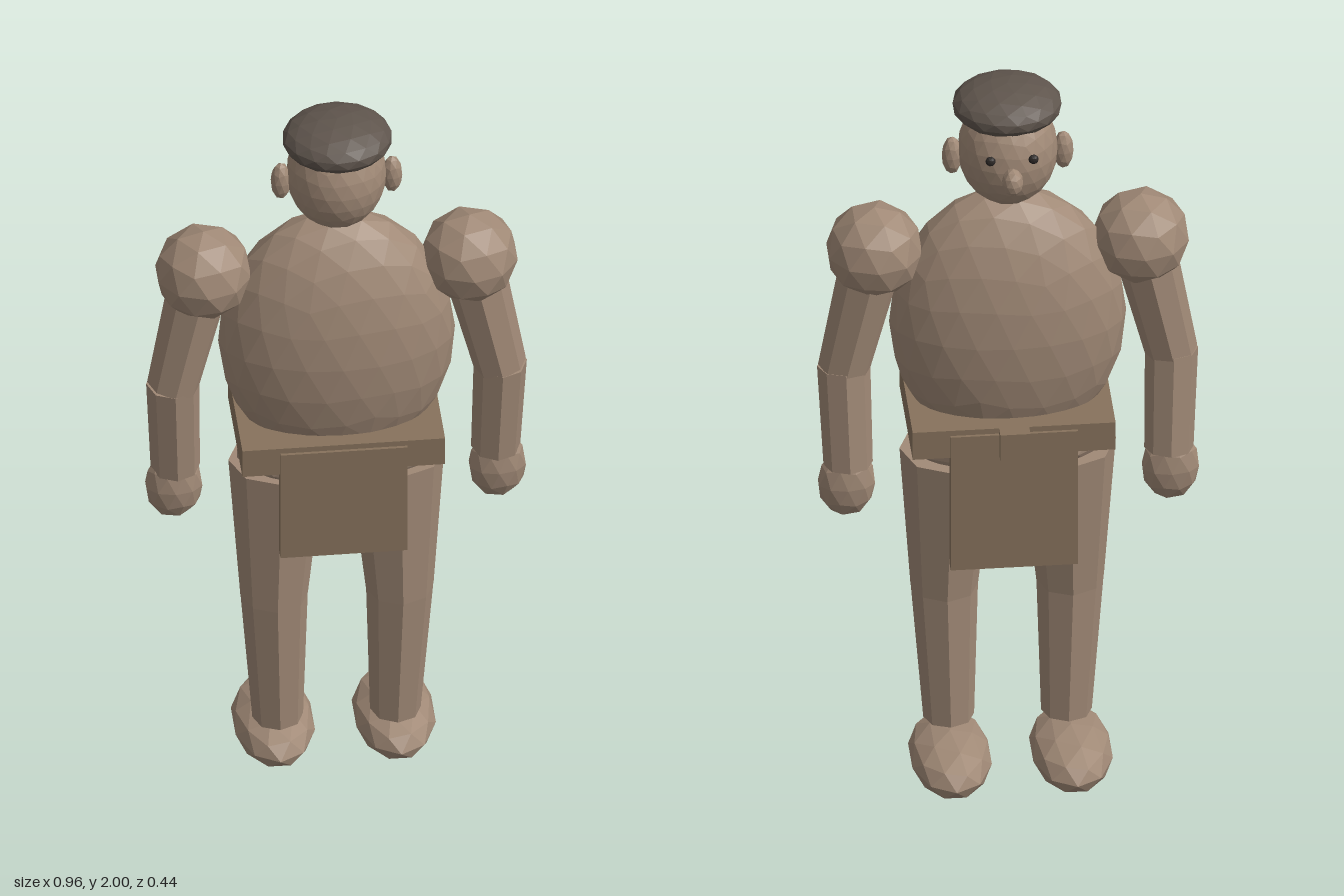
import * as THREE from 'three';

const material = (color) => new THREE.MeshStandardMaterial({ color, flatShading: true });

export function createModel() {
  const model = new THREE.Group();
  const skin = material(0xa08976);
  const leather = material(0x87725c);
  const capCloth = material(0x5f554d);
  const dark = material(0x2c2826);

  const add = (name, geometry, mat) => {
    const mesh = new THREE.Mesh(geometry, mat);
    mesh.name = name;
    model.add(mesh);
    return mesh;
  };

  // Faceted ellipsoid with a vertex at its top pole
  const ball = (name, center, radii, detail, mat = skin) => {
    const geometry = new THREE.IcosahedronGeometry(1, detail);
    geometry.rotateZ(Math.atan(2 / (1 + Math.sqrt(5))));
    geometry.scale(...radii);
    return add(name, geometry, mat).position.set(...center);
  };

  // Tapered eight-sided limb running from point a down to point b
  const limb = (name, a, b, radiusA, radiusB) => {
    const top = new THREE.Vector3(...a);
    const bottom = new THREE.Vector3(...b);
    const axis = top.clone().sub(bottom);
    const mesh = add(name, new THREE.CylinderGeometry(radiusA, radiusB, axis.length(), 8), skin);
    mesh.position.copy(top).add(bottom).multiplyScalar(0.5);
    mesh.quaternion.setFromUnitVectors(new THREE.Vector3(0, 1, 0), axis.normalize());
  };

  // Box given by its lower and upper corners
  const slab = (name, lo, hi) => {
    const mesh = add(name, new THREE.BoxGeometry(hi[0] - lo[0], hi[1] - lo[1], hi[2] - lo[2]), leather);
    mesh.position.set((lo[0] + hi[0]) / 2, (lo[1] + hi[1]) / 2, (lo[2] + hi[2]) / 2);
  };

  // Trunk, head and cap; the face looks toward -z
  ball('torso', [0, 1.32, 0.043], [0.298, 0.375, 0.164], 3);
  ball('pelvis', [0, 0.97, 0.042], [0.255, 0.1, 0.13], 2);
  ball('head', [0, 1.82, 0.04], [0.126, 0.15, 0.125], 3);
  ball('cap', [0, 1.94, 0.058], [0.139, 0.06, 0.128], 2, capCloth);
  ball('nose', [0, 1.8, -0.09], [0.027, 0.038, 0.032], 1);

  // Belt, buckle and hanging cloths
  slab('belt', [-0.255, 1.015, -0.13], [0.255, 1.095, 0.212]);
  slab('buckle', [-0.038, 1.02, -0.163], [0.038, 1.095, -0.11]);
  slab('longCloth', [-0.16, 0.685, -0.138], [0.16, 1.08, -0.1]);
  slab('shortCloth', [-0.16, 0.76, 0.187], [0.16, 1.08, 0.22]);

  // Paired parts
  for (const [side, s] of [['left', 1], ['right', -1]]) {
    ball(side + 'Ear', [s * 0.14, 1.805, 0.042], [0.026, 0.054, 0.025], 1);
    ball(side + 'Eye', [s * 0.054, 1.855, -0.075], [0.013, 0.013, 0.01], 1, dark);

    ball(side + 'Shoulder', [s * 0.335, 1.538, 0.042], [0.123, 0.123, 0.123], 1);
    limb(side + 'UpperArm', [s * 0.338, 1.53, 0.035], [s * 0.412, 1.19, 0.042], 0.08, 0.066);
    limb(side + 'Forearm', [s * 0.412, 1.2, 0.042], [s * 0.403, 0.92, 0.018], 0.067, 0.062);
    ball(side + 'Hand', [s * 0.407, 0.865, 0.02], [0.074, 0.098, 0.05], 1);

    limb(side + 'Thigh', [s * 0.15, 0.94, 0.04], [s * 0.158, 0.525, 0.053], 0.122, 0.085);
    limb(side + 'Shin', [s * 0.158, 0.535, 0.053], [s * 0.148, 0.14, 0.043], 0.085, 0.064);
    ball(side + 'Foot', [s * 0.152, 0.072, -0.032], [0.105, 0.07, 0.185], 1);
  }

  return model;
}
